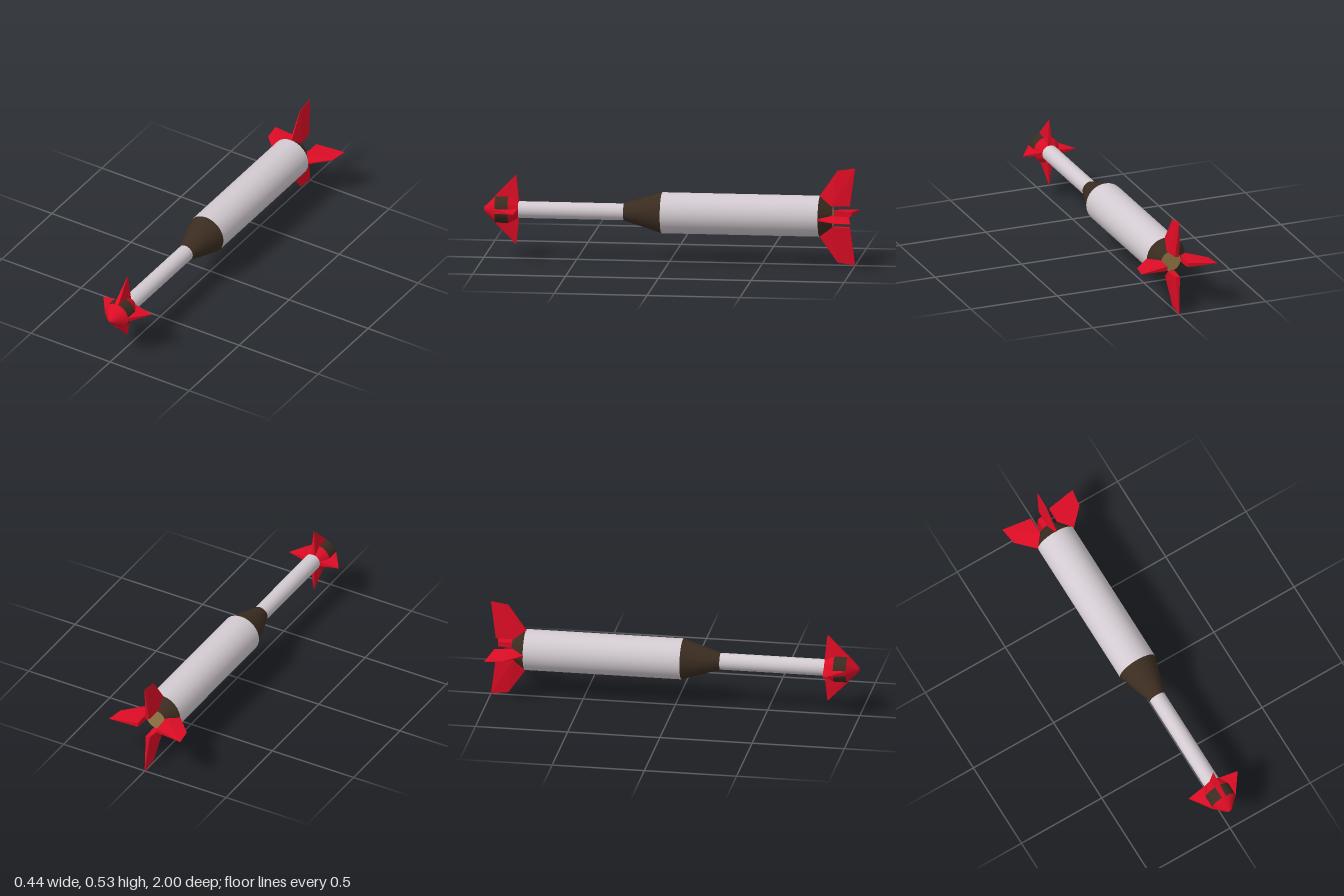
import * as THREE from 'three';

const paint = (name, color) => {
  const m = new THREE.MeshStandardMaterial({ color });
  m.name = name;
  return m;
};

// Revolved section around the long axis; points are [radius, z] from back to front
function section(name, points, material) {
  const geo = new THREE.LatheGeometry(points.map(([r, z]) => new THREE.Vector2(r, z)), 32);
  geo.rotateX(Math.PI / 2);
  const mesh = new THREE.Mesh(geo, material);
  mesh.name = name;
  return mesh;
}

// Faceted tapered fin; outline points are [radius, z, thickness on +x, thickness on -x]
function finGeometry(outline) {
  const pos = [];
  const a = outline.map(([r, z, t]) => [t, r, z]);
  const b = outline.map(([r, z, , t]) => [-t, r, z]);
  const tri = (...pts) => pts.forEach((p) => pos.push(...p));
  const n = outline.length;
  const hub = n - 1;
  for (let i = 0; i < n - 2; i++) {
    tri(a[hub], a[i + 1], a[i]);
    tri(b[hub], b[i], b[i + 1]);
  }
  for (let i = 0; i < n; i++) {
    const j = (i + 1) % n;
    tri(a[i], a[j], b[j]);
    tri(a[i], b[j], b[i]);
  }
  const geo = new THREE.BufferGeometry();
  geo.setAttribute('position', new THREE.Float32BufferAttribute(pos, 3));
  geo.computeVertexNormals();
  return geo;
}

// Four fins around the axis: the vertical pair is longer than the horizontal pair
function finSet(name, outlineFor, material) {
  const set = new THREE.Group();
  set.name = name;
  for (let i = 0; i < 4; i++) {
    const fin = new THREE.Mesh(finGeometry(outlineFor(i % 2 === 0)), material);
    fin.name = name + (i + 1);
    fin.rotation.z = -i * Math.PI / 2;
    set.add(fin);
  }
  return set;
}

export function createModel() {
  const red = paint('red', 0xdc0c24);
  const dark = paint('dark brown', 0x3b2c20);
  const pale = paint('pale grey', 0xd2cad0);
  const tan = paint('tan', 0x9a7a48);
  red.side = THREE.DoubleSide;

  const model = new THREE.Group();
  model.name = 'rocket';
  model.position.y = 0.266;

  // Body from tail to nose
  model.add(
    section('nozzle', [[0, -0.88], [0.056, -0.88]], tan),
    section('tailCone', [[0.056, -0.88], [0.11, -0.81]], dark),
    section('body', [[0.11, -0.81], [0.11, 0.04]], pale),
    section('shoulder', [[0.11, 0.04], [0.046, 0.245]], dark),
    section('neck', [[0.045, 0.24], [0.045, 0.82]], pale),
    section('headBack', [[0.044, 0.81], [0.073, 0.865]], red),
    section('headBand', [[0.073, 0.865], [0.073, 0.935]], dark),
    section('noseCone', [[0.073, 0.935], [0.014, 0.995], [0, 1]], red),
  );

  // Swept tail fins
  model.add(finSet('tailFin', (tall) => [
    [0.11, -0.808, 0.006, 0.004],
    [tall ? 0.25 : 0.205, -0.905, 0.001, 0.001],
    [tall ? 0.264 : 0.219, -1, 0.001, 0.001],
    [0.058, -0.972, 0.014, 0.01],
    [0.058, -0.875, 0.023, 0.013],
  ], red));

  // Barbed head fins
  model.add(finSet('headFin', (tall) => [
    [0.073, 0.937, 0.012, 0.012],
    [tall ? 0.19 : 0.153, 0.825, 0.001, 0.001],
    [0.044, 0.81, 0.013, 0.013],
    [0.044, 0.93, 0.016, 0.016],
  ], red));

  const root = new THREE.Group();
  root.add(model);
  return root;
}
